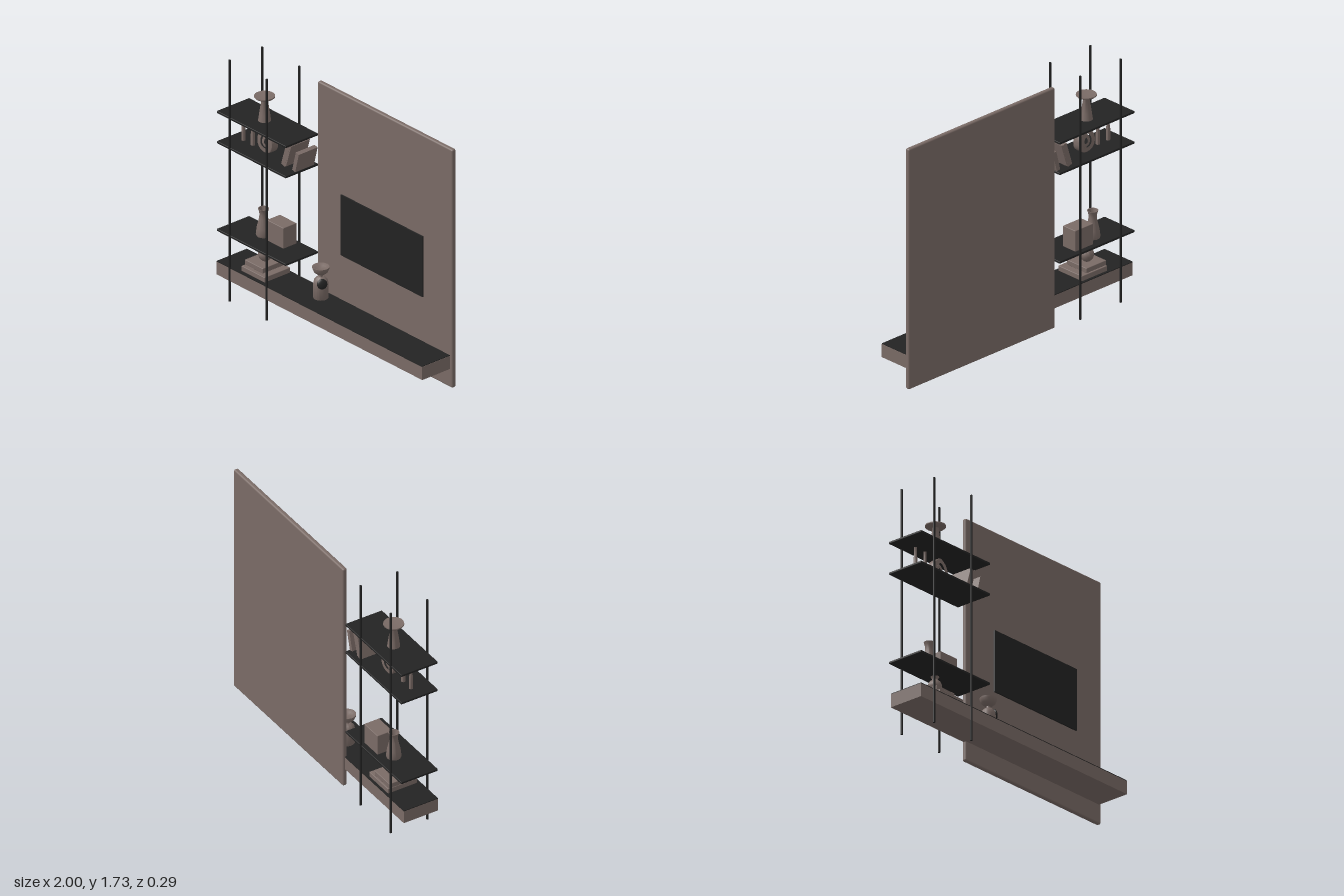
import * as THREE from 'three';
import { RoundedBoxGeometry } from 'three/addons/geometries/RoundedBoxGeometry.js';
import { toCreasedNormals } from 'three/addons/utils/BufferGeometryUtils.js';

const taupe = new THREE.MeshStandardMaterial({ color: 0x7a6b66 });
taupe.name = 'taupe';
const black = new THREE.MeshStandardMaterial({ color: 0x232323 });
black.name = 'black';

export function createModel() {
  const model = new THREE.Group();
  model.name = 'mediaWall';

  const add = (name, geometry, material, x = 0, y = 0, z = 0) => {
    const mesh = new THREE.Mesh(geometry, material);
    mesh.name = name;
    mesh.position.set(x, y, z);
    model.add(mesh);
    return mesh;
  };

  // Box given by its limits on each axis, optionally with rounded edges
  const box = (name, material, [x0, x1], [y0, y1], [z0, z1], radius = 0) => {
    const size = [x1 - x0, y1 - y0, z1 - z0];
    const geometry = radius ? new RoundedBoxGeometry(...size, 3, radius) : new THREE.BoxGeometry(...size);
    return add(name, geometry, material, (x0 + x1) / 2, (y0 + y1) / 2, (z0 + z1) / 2);
  };

  // Turned object from [radius, height] pairs, standing at x, y, z
  const turned = (name, profile, x, y, z) => {
    const points = profile.map(([r, h]) => new THREE.Vector2(r, h));
    const geometry = toCreasedNormals(new THREE.LatheGeometry(points, 32), 0.7);
    return add(name, geometry, taupe, x, y, z);
  };

  // Back panel, screen and long bench
  box('backPanel', taupe, [-0.3, 1], [0.01, 1.715], [-0.133, -0.1], 0.012);
  box('screen', black, [-0.05, 0.74], [0.573, 1.005], [-0.085, -0.075]);
  box('bench', taupe, [-1, 0.98], [0.143, 0.235], [-0.12, 0.138]);
  box('benchTop', black, [-1, 0.977], [0.235, 0.24], [-0.12, 0.138]);

  // Open shelves on four slender poles
  for (const y of [0.462, 1.09, 1.306]) {
    box('shelf', black, [-1, -0.335], [y - 0.008, y + 0.008], [-0.138, 0.138], 0.004);
  }
  for (const z of [-0.138, 0.138]) {
    for (const x of [-0.875, -0.516]) {
      add('pole', new THREE.CylinderGeometry(0.008, 0.008, 1.725, 16), black, x, 0.8625, z);
    }
  }

  // Pedestal dish on the top shelf
  turned('pedestalDish', [
    [0, 0], [0.042, 0], [0.035, 0.05], [0.02, 0.15], [0.024, 0.158], [0.06, 0.162],
    [0.068, 0.17], [0.067, 0.177], [0.06, 0.176], [0, 0.168],
  ], -0.7, 1.314, -0.005);

  // Slim bottles on the second shelf
  for (const x of [-0.898, -0.807]) {
    turned('slimBottle', [
      [0, 0], [0.014, 0], [0.014, 0.08], [0.01, 0.11], [0.009, 0.16], [0.011, 0.168], [0, 0.168],
    ], x, 1.098, 0);
  }

  // Looped ornament: nested pointed rings
  const drop = (path, r, top) => {
    path.moveTo(0, top);
    path.bezierCurveTo(r * 0.5, top * 0.92, r, r * 0.55, r, -r * 0.08);
    path.bezierCurveTo(r, -r * 0.7, r * 0.55, -r * 1.05, 0, -r * 1.05);
    path.bezierCurveTo(-r * 0.55, -r * 1.05, -r, -r * 0.7, -r, -r * 0.08);
    path.bezierCurveTo(-r, r * 0.55, -r * 0.5, top * 0.92, 0, top);
    return path;
  };
  const dropRing = (outer, inner, depth) => {
    const shape = drop(new THREE.Shape(), ...outer);
    shape.holes.push(drop(new THREE.Path(), ...inner));
    const geometry = new THREE.ExtrudeGeometry(shape, {
      depth, bevelThickness: 0.006, bevelSize: 0.005, bevelOffset: -0.005, bevelSegments: 3, curveSegments: 12,
    });
    geometry.translate(0, 0, -depth / 2);
    return toCreasedNormals(geometry, 0.7);
  };
  add('ornamentOuterRing', dropRing([0.072, 0.088], [0.045, 0.06], 0.045), taupe, -0.675, 1.174, -0.01);
  add('ornamentInnerRing', dropRing([0.038, 0.054], [0.02, 0.033], 0.025), taupe, -0.675, 1.169, -0.01);
  box('ornamentBridge', taupe, [-0.685, -0.665], [1.118, 1.14], [-0.022, 0.002]);

  // Leaning books
  for (const [x, y, width, height, tilt] of [
    [-0.448, 1.185, 0.036, 0.172, -0.3], [-0.423, 1.187, 0.01, 0.168, -0.3], [-0.352, 1.17, 0.03, 0.142, -0.25],
  ]) {
    const book = add('leaningBook', new THREE.BoxGeometry(width, height, 0.16), taupe, x + 0.015, y, -0.027);
    book.rotation.z = tilt;
  }

  // Flared vase and cube box on the lowest shelf
  turned('flaredVase', [
    [0, 0], [0.046, 0], [0.05, 0.012], [0.044, 0.06], [0.03, 0.12], [0.026, 0.15],
    [0.03, 0.175], [0.036, 0.192], [0.031, 0.192], [0.022, 0.15], [0, 0.14],
  ], -0.735, 0.47, -0.027);
  box('cubeBox', taupe, [-0.665, -0.505], [0.47, 0.618], [-0.105, 0.008], 0.004);

  // Stacked books with a round vase
  box('lowerBook', taupe, [-0.79, -0.565], [0.24, 0.277], [-0.105, 0.114], 0.004);
  box('upperBook', taupe, [-0.79, -0.615], [0.277, 0.312], [-0.095, 0.085], 0.004);
  turned('roundVase', [
    [0, 0], [0.022, 0], [0.038, 0.016], [0.047, 0.04], [0.046, 0.056], [0.036, 0.078], [0.02, 0.092],
    [0.019, 0.1], [0.028, 0.115], [0.024, 0.115], [0.014, 0.1], [0, 0.095],
  ], -0.7, 0.312, -0.01);

  // Domed vase with a bowl top and a dark round inset
  turned('bowlTopVase', [
    [0, 0], [0.047, 0], [0.049, 0.004], [0.049, 0.105], [0.044, 0.128], [0.03, 0.145], [0.014, 0.154],
    [0.012, 0.166], [0.028, 0.172], [0.045, 0.186], [0.055, 0.208], [0.056, 0.222], [0.051, 0.222],
    [0.035, 0.212], [0, 0.206],
  ], -0.175, 0.24, -0.02);
  const inset = add('vaseInset', new THREE.SphereGeometry(0.034, 24, 16), black, -0.138, 0.356, 0.002);
  inset.scale.x = 0.4;
  inset.rotation.set(0, -0.5, 0.25);

  return model;
}
